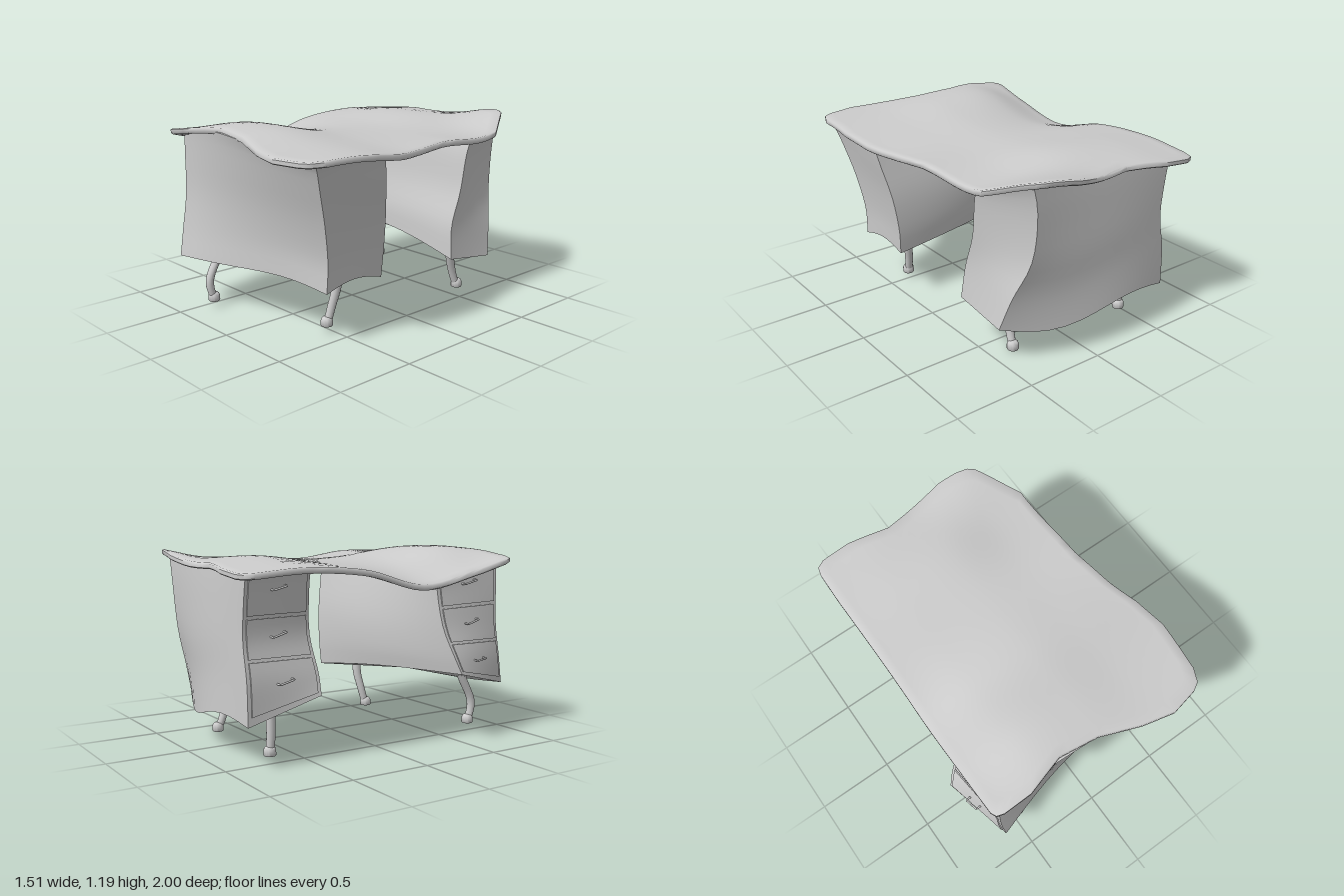
import * as THREE from 'three';
import { toCreasedNormals } from 'three/addons/utils/BufferGeometryUtils.js';

const mat = new THREE.MeshStandardMaterial({ color: 0xcccccc });
const V = (x, y, z) => new THREE.Vector3(x, y, z);

function mesh(name, geometry, parent) {
  const m = new THREE.Mesh(geometry, mat);
  m.name = name;
  parent.add(m);
  return m;
}

// Skin a stack of closed rings (counter-clockwise from above, bottom to top)
function loft(rings, crease = 0.6) {
  const n = rings[0].length, index = [];
  for (let r = 0; r < rings.length - 1; r++) {
    for (let i = 0; i < n; i++) {
      const a = r * n + i, b = r * n + (i + 1) % n;
      index.push(a, b, b + n, a, b + n, a + n);
    }
  }
  const g = new THREE.BufferGeometry().setFromPoints(rings.flat());
  g.setIndex(index);
  return toCreasedNormals(g, crease);
}

// Wavy height of the desk top: rows z = -1..1, columns x = -0.72..0.72
const HEIGHTS = [
  [1.085, 1.115, 1.12, 1.18, 1.18],
  [1.11, 1.14, 1.145, 1.09, 1.07],
  [1.08, 1.10, 1.11, 1.09, 1.09],
  [0.98, 1.08, 1.12, 1.10, 1.08],
  [1.05, 1.175, 1.18, 1.14, 1.125],
  [1.145, 1.16, 1.145, 1.125, 1.12],
];
function spline(vals, t) {
  const last = vals.length - 1;
  t = THREE.MathUtils.clamp(t, 0, last);
  const i = Math.min(Math.floor(t), last - 1), f = t - i;
  const at = (k) => vals[THREE.MathUtils.clamp(k, 0, last)];
  const [a, b, c, d] = [at(i - 1), at(i), at(i + 1), at(i + 2)];
  return b + 0.5 * f * (c - a + f * (2 * a - 5 * b + 4 * c - d + f * (3 * (b - c) + d - a)));
}
const topHeight = (x, z) =>
  spline(HEIGHTS.map((row) => spline(row, (x + 0.72) / 0.36)), (z + 1) / 0.4);

// Desk top outline (x, z), counter-clockwise from above
const OUTLINE = [
  [-0.71, 0.85], [-0.695, 0.885], [-0.65, 0.9], [-0.47, 0.9], [-0.35, 0.865], [-0.23, 0.83], [0.02, 0.86],
  [0.27, 0.95], [0.47, 0.995], [0.64, 0.96], [0.69, 0.93], [0.725, 0.85], [0.755, 0.54], [0.73, 0.32],
  [0.68, 0.13], [0.63, -0.15], [0.605, -0.68], [0.44, -0.94], [0.4, -0.97], [0.32, -0.99], [0.2, -1],
  [-0.21, -0.94], [-0.47, -1], [-0.65, -1], [-0.7, -0.975], [-0.715, -0.92], [-0.72, -0.7], [-0.71, 0],
];

function deskTop() {
  const pts = [];
  OUTLINE.forEach(([x, z], i) => {
    const [x2, z2] = OUTLINE[(i + 1) % OUTLINE.length];
    const n = Math.ceil(Math.hypot(x2 - x, z2 - z) / 0.07);
    for (let k = 0; k < n; k++) pts.push([x + (x2 - x) * k / n, z + (z2 - z) * k / n]);
  });
  const ring = (t, dy) => pts.map(([x, z]) => V(x * t, topHeight(x * t, z * t) + dy, z * t));
  const ts = Array.from({ length: 16 }, (_, i) => 0.99 * i / 15);
  return loft([
    ...ts.map((t) => ring(t, -0.036)),
    ring(1, -0.029), ring(1, -0.007),
    ...ts.reverse().map((t) => ring(t, 0)),
  ], 0.9);
}

// Warped pedestal: corner curves (left front, right front, right back, left back as
// seen from the front). Each side has a bump [y, z, second y wave] that fades
// upwards, and a z bulge at mid height
function pedestalSurface(corners, bumps) {
  const curves = corners.map((c) => new THREE.CatmullRomCurve3(c.map((p) => V(...p))));
  return (side, s, v) => {
    const p = curves[side].getPoint(v).lerp(curves[(side + 1) % 4].getPoint(v), s);
    const [by, bz, wave, bulge] = bumps[side], fade = (1 - v) ** 1.5, hump = Math.sin(Math.PI * s);
    p.y += (by * hump + wave * Math.sin(2 * Math.PI * s)) * fade;
    p.z += hump * (bz * fade + bulge * Math.sin(Math.PI * v));
    p.y += (topHeight(p.x, p.z) - 0.022 - p.y) * v ** 4;
    return p;
  };
}

function pedestalBody(surface) {
  const rings = [];
  for (let j = 0; j <= 14; j++) {
    const ring = [];
    for (let side = 0; side < 4; side++) {
      for (let k = 0; k < 12; k++) ring.push(surface(side, k / 12, j / 14));
    }
    rings.push(ring);
  }
  // Bottom and top close towards their centres, the top following the desk top
  const shrink = (ring, t) => {
    const c = ring.reduce((a, p) => a.add(p), V(0, 0, 0)).divideScalar(ring.length);
    return ring.map((p) => c.clone().lerp(p, t));
  };
  const bottom = [0, 0.35, 0.7].map((t) => shrink(rings[0], t));
  const top = [0.7, 0.35, 0].map((t) =>
    shrink(rings[14], t).map((p) => V(p.x, topHeight(p.x, p.z) - 0.022, p.z)));
  return loft([...bottom, ...rings, ...top], 0.75);
}

// Three drawers with bar handles on the -x face
function addDrawers(surface, parent) {
  [[0.05, 0.36], [0.38, 0.61], [0.63, 0.92]].forEach(([v0, v1], i) => {
    const drawer = new THREE.Group();
    drawer.name = ['bottomDrawer', 'middleDrawer', 'topDrawer'][i];
    parent.add(drawer);
    const g = new THREE.BoxGeometry(1, 1, 1, 8, 6, 1);
    const pos = g.attributes.position;
    for (let k = 0; k < pos.count; k++) {
      const s = THREE.MathUtils.lerp(0.05, 0.95, pos.getX(k) + 0.5);
      const p = surface(3, s, THREE.MathUtils.lerp(v0, v1, pos.getY(k) + 0.5));
      pos.setXYZ(k, p.x - pos.getZ(k) * 0.016, p.y, p.z);
    }
    mesh('drawerFront', toCreasedNormals(g, 0.7), drawer);
    const vm = (v0 + v1) / 2 + 0.02;
    const grip = (s, out) => surface(3, s, vm + (s - 0.5) * 0.12).add(V(-out, 0, 0));
    const path = new THREE.CurvePath();
    const pts = [grip(0.4, 0), grip(0.4, 0.04), grip(0.6, 0.04), grip(0.6, 0)];
    for (let k = 0; k < 3; k++) path.add(new THREE.LineCurve3(pts[k], pts[k + 1]));
    mesh('handle', new THREE.TubeGeometry(path, 24, 0.006, 8), drawer);
  });
}

// Curved tapering leg with a rounded foot
function addLeg(name, points, parent) {
  const leg = new THREE.Group();
  leg.name = name;
  parent.add(leg);
  const curve = new THREE.CatmullRomCurve3(points.map((p) => V(...p)));
  const rings = [];
  for (let j = 0; j <= 14; j++) {
    const c = curve.getPoint(1 - j / 14), r = 0.024 + 0.007 * j / 14;
    rings.push(Array.from({ length: 14 }, (_, i) => {
      const a = i / 14 * Math.PI * 2;
      return V(c.x + r * Math.cos(a), c.y, c.z - r * Math.sin(a));
    }));
  }
  mesh('legShaft', loft(rings, 1.2), leg);
  const profile = [[0, 0], [0.033, 0], [0.037, 0.006], [0.036, 0.035], [0.031, 0.048], [0.022, 0.056], [0, 0.058]];
  const foot = mesh('foot', toCreasedNormals(
    new THREE.LatheGeometry(profile.map(([x, y]) => new THREE.Vector2(x, y)), 20), 0.8), leg);
  foot.position.set(...points[points.length - 1]);
}

export function createModel() {
  const desk = new THREE.Group();
  desk.name = 'desk';
  mesh('deskTop', deskTop(), desk);

  const pedestals = {
    frontPedestal: pedestalSurface([
      [[-0.635, 0.32, 0.895], [-0.645, 0.5, 0.86], [-0.64, 0.7, 0.83], [-0.64, 0.9, 0.825], [-0.635, 1.08, 0.825]],
      [[0.555, 0.325, 0.70], [0.56, 0.5, 0.695], [0.59, 0.7, 0.74], [0.64, 0.9, 0.82], [0.69, 1.08, 0.89]],
      [[0.55, 0.33, 0.275], [0.56, 0.5, 0.265], [0.59, 0.7, 0.28], [0.64, 0.9, 0.33], [0.67, 1.08, 0.365]],
      [[-0.755, 0.43, 0.46], [-0.72, 0.53, 0.43], [-0.65, 0.7, 0.39], [-0.615, 0.9, 0.37], [-0.62, 1.02, 0.36]],
    ], [[0.005, -0.06, -0.011, 0], [0.04, 0, 0, 0], [0.03, -0.07, 0, -0.04], [0, 0, 0, 0]]),
    backPedestal: pedestalSurface([
      [[-0.61, 0.38, -0.45], [-0.58, 0.5, -0.45], [-0.53, 0.7, -0.48], [-0.56, 0.9, -0.5], [-0.6, 1.08, -0.51]],
      [[0.53, 0.29, -0.37], [0.51, 0.5, -0.39], [0.51, 0.7, -0.465], [0.52, 0.9, -0.5], [0.53, 1.07, -0.55]],
      [[0.53, 0.24, -0.74], [0.48, 0.45, -0.8], [0.41, 0.65, -0.875], [0.4, 0.85, -0.905], [0.44, 1.08, -0.91]],
      [[-0.6, 0.25, -0.91], [-0.59, 0.5, -0.91], [-0.55, 0.7, -0.91], [-0.57, 0.9, -0.91], [-0.6, 1.07, -0.91]],
    ], [[0.05, 0, 0, 0], [0, 0, 0, 0], [-0.015, -0.09, -0.045, 0], [0, 0, 0, 0]]),
  };
  for (const [name, surface] of Object.entries(pedestals)) {
    const group = new THREE.Group();
    group.name = name;
    desk.add(group);
    mesh('cabinet', pedestalBody(surface), group);
    addDrawers(surface, group);
  }

  addLeg('frontRightLeg', [[-0.46, 0.44, 0.67], [-0.46, 0.32, 0.73], [-0.46, 0.17, 0.8], [-0.455, 0.035, 0.775]], desk);
  addLeg('frontLeftLeg', [[0.39, 0.44, 0.475], [0.38, 0.28, 0.47], [0.36, 0.15, 0.495], [0.35, 0.035, 0.525]], desk);
  addLeg('backLeftLeg', [[0.38, 0.34, -0.54], [0.36, 0.24, -0.555], [0.345, 0.11, -0.6], [0.35, 0, -0.64]], desk);
  addLeg('backRightLeg', [[-0.46, 0.42, -0.69], [-0.46, 0.28, -0.695], [-0.46, 0.15, -0.695], [-0.455, 0.035, -0.7]], desk);
  return desk;
}
